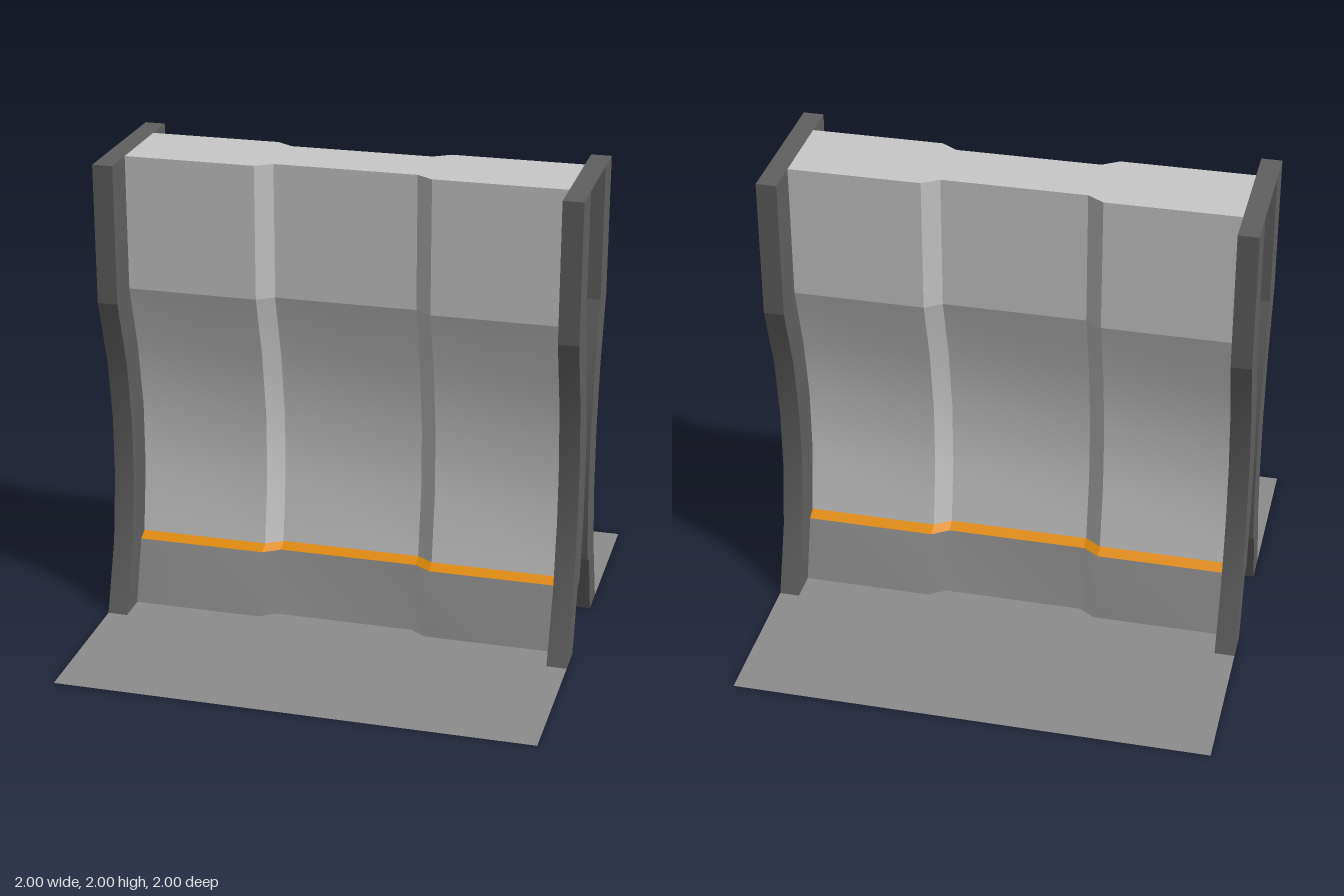
import * as THREE from 'three';
import { toCreasedNormals } from 'three/addons/utils/BufferGeometryUtils.js';

const material = (name, color) => {
  const m = new THREE.MeshStandardMaterial({ color, side: THREE.DoubleSide });
  m.name = name;
  return m;
};

// Half-width of the wall panel, and the grooved plan of the wall: [x, inset]
const END = 0.915, INSET = 0.045;
const PLAN = [[-END, 0], [-0.367, 0], [-0.298, INSET], [0.298, INSET], [0.367, 0], [END, 0]];

// Wall section as [z, y], from top to bottom
const UPPER = [[0.178, 2], [0.178, 1.43]];
const CURVE = [[0.178, 1.43], [0.1, 1.15], [0.053, 0.86], [0.053, 0.575], [0.097, 0.29]];
const LEDGE = [[0.097, 0.29], [0.14, 0.268]];
const BASE = [[0.14, 0.268], [0.219, 0]];
// Outer edge of the end posts, from bottom to top
const POST = [[0.35, 0], [0.247, 0.3], [0.205, 0.59], [0.205, 0.85], [0.242, 1.12], [0.327, 1.41], [0.327, 2]];

// Sheet that sweeps a section along part of the plan, smooth inside
function sheet(section, plan) {
  const pos = [], index = [], n = plan.length;
  for (const [z, y] of section) for (const [x, inset] of plan) pos.push(x, y, z - inset);
  for (let r = 0; r < section.length - 1; r++) {
    for (let c = 0; c < n - 1; c++) {
      const a = r * n + c, b = a + n;
      index.push(a, b, b + 1, a, b + 1, a + 1);
    }
  }
  const g = new THREE.BufferGeometry();
  g.setAttribute('position', new THREE.Float32BufferAttribute(pos, 3));
  g.setIndex(index);
  g.computeVertexNormals();
  return g;
}

// Flat horizontal plate from an outline of [x, z]
function plate(outline, y) {
  const shape = new THREE.Shape(outline.map(([x, z]) => new THREE.Vector2(x, -z)));
  return new THREE.ShapeGeometry(shape).rotateX(-Math.PI / 2).translate(0, y, 0);
}

export function createModel() {
  const wall = material('light grey wall', 0xc8c8c8);
  const floor = material('mid grey floor', 0x8c8c8c);
  const frame = material('dark grey frame', 0x606060);
  const trim = material('orange trim', 0xe08a0a);

  const model = new THREE.Group();
  model.name = 'wallSection';
  const add = (parent, name, geometry, mat) => {
    const mesh = new THREE.Mesh(geometry, mat);
    mesh.name = name;
    parent.add(mesh);
  };

  // End post section: follows the wall inside, flares outside
  const postShape = new THREE.Shape(
    [...POST, ...UPPER, ...CURVE.slice(1), ...LEDGE.slice(1), ...BASE.slice(1)]
      .map(([z, y]) => new THREE.Vector2(-z, y)));
  const postGeometry = toCreasedNormals(
    new THREE.ExtrudeGeometry(postShape, { depth: 1 - END, bevelEnabled: false }).rotateY(Math.PI / 2), 0.2);

  // Floor outline, notched around the posts
  const foot = BASE[1][0], toe = POST[0][0];
  const floorOutline = [
    [-1, 1], [1, 1], [1, toe], [END, toe],
    ...PLAN.map(([x, inset]) => [x, foot - inset]).reverse(),
    [-END, toe], [-1, toe],
  ];

  // Identical faces, back to back
  for (const name of ['frontSide', 'backSide']) {
    const side = new THREE.Group();
    side.name = name;
    if (name === 'backSide') side.rotation.y = Math.PI;
    for (let i = 0; i < PLAN.length - 1; i++) {
      const strip = PLAN.slice(i, i + 2);
      add(side, 'upperPanel', sheet(UPPER, strip), wall);
      add(side, 'curvedPanel', sheet(CURVE, strip), wall);
      add(side, 'trimLedge', sheet(LEDGE, strip), trim);
    }
    add(side, 'baseboard', sheet(BASE, PLAN), floor);
    add(side, 'floorPlate', plate(floorOutline, 0), floor);
    for (const x of [-1, END]) {
      const post = postGeometry.clone().translate(x, 0, 0);
      add(side, 'endPost', post, frame);
    }
    model.add(side);
  }

  // Top cap over the wall cavity
  const rim = PLAN.map(([x, inset]) => [x, UPPER[0][0] - inset]);
  const capOutline = [...rim, ...rim.map(([x, z]) => [x, -z]).reverse()];
  add(model, 'topCap', plate(capOutline, 2), wall);

  // Thin bridges joining the posts at the top of each end
  const z = UPPER[0][0];
  for (const x of [-1, END]) {
    const w = x + 1 - END;
    add(model, 'topBridge', plate([[x, z], [w, z], [w, -z], [x, -z]], 2), frame);
  }
  // Extruding along +x mirrors z, so turn every post to its own side
  model.traverse((o) => {
    if (o.name !== 'endPost') return;
    o.geometry.computeBoundingBox();
    if (o.geometry.boundingBox.max.z < 0.1) o.rotation.y = Math.PI;
  });
  return model;
}
